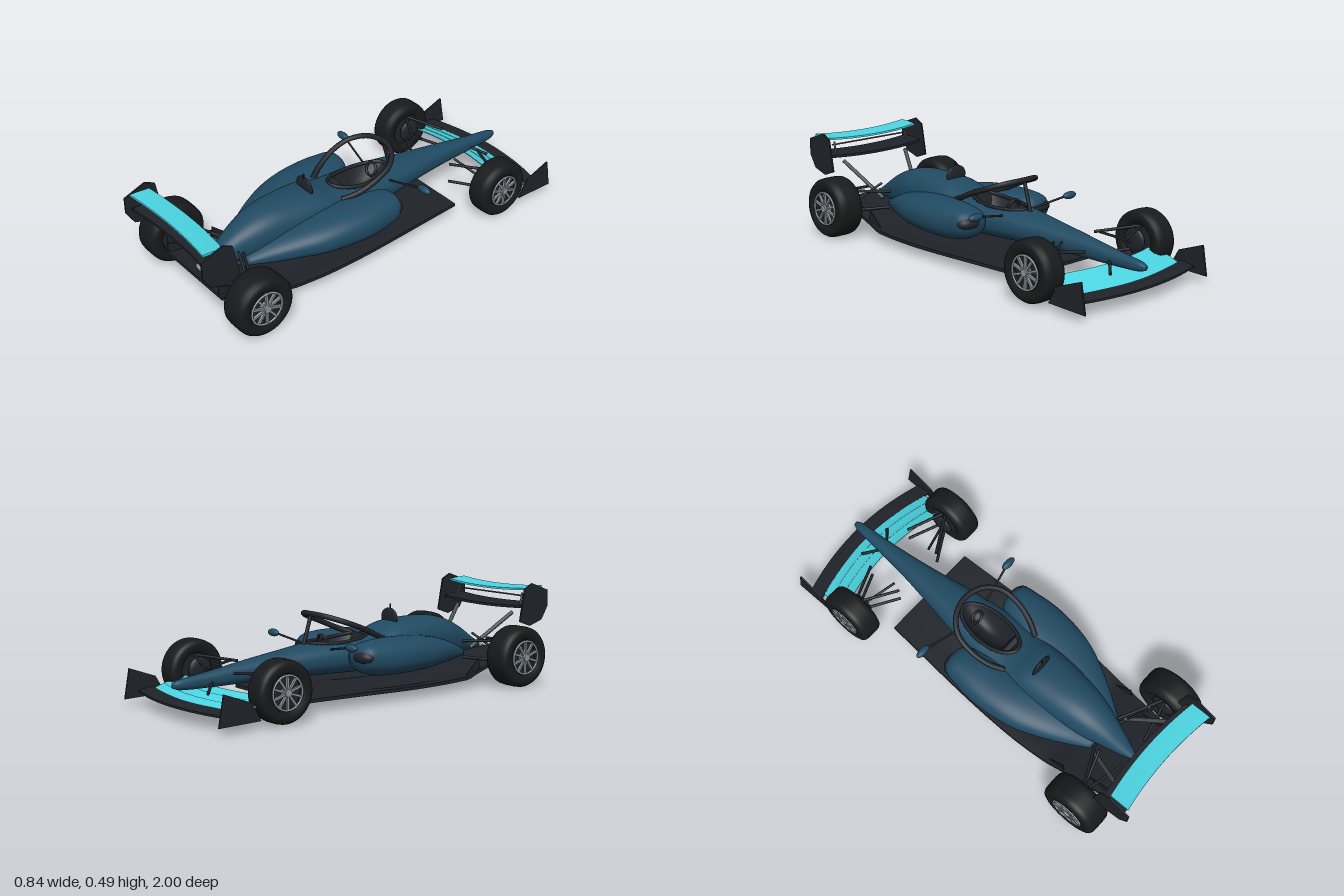
import * as THREE from 'three';

const mat = (color) => new THREE.MeshStandardMaterial({ color, side: THREE.DoubleSide });
const BLUE = mat(0x204a62), CYAN = mat(0x4bd5e2), DARK = mat(0x1f2329), RUBBER = mat(0x191a1b),
  METAL = mat(0x8d979d), GREY = mat(0x4a4f54);
const V = (x, y, z) => new THREE.Vector3(x, y, z);

function add(parent, name, geometry, material, x = 0, y = 0, z = 0) {
  const mesh = new THREE.Mesh(geometry, material);
  mesh.name = name;
  mesh.position.set(x, y, z);
  parent.add(mesh);
  return mesh;
}

function warp(geometry, rule) {
  const p = geometry.attributes.position, v = V(0, 0, 0);
  for (let i = 0; i < p.count; i++) {
    rule(v.fromBufferAttribute(p, i));
    p.setXYZ(i, v.x, v.y, v.z);
  }
  geometry.computeVertexNormals();
  return geometry;
}

// smooth interpolation of table rows, the first column being z
function sample(rows, z) {
  let i = 0;
  while (i < rows.length - 2 && z > rows[i + 1][0]) i++;
  const a = rows[i], b = rows[i + 1], p = rows[i - 1] || a, n = rows[i + 2] || b;
  const d = b[0] - a[0], t = Math.min(1, Math.max(0, (z - a[0]) / d));
  return a.map((_, k) => {
    const m0 = (b[k] - p[k]) / (b[0] - p[0]) * d, m1 = (n[k] - a[k]) / (n[0] - a[0]) * d;
    return a[k] + t * m0 + t * t * (3 * (b[k] - a[k]) - 2 * m0 - m1) + t * t * t * (2 * (a[k] - b[k]) + m0 + m1);
  });
}

// skin over superellipse sections: rows of z, centre x, half width, top, bottom
function loft(rows, rings, power = 2.3, sides = 56) {
  const pos = [], index = [], z0 = rows[0][0], z1 = rows[rows.length - 1][0];
  const bend = (c) => Math.sign(c) * Math.abs(c) ** (2 / power);
  for (let k = 0; k <= rings; k++) {
    const [z, cx, w, top, bot] = sample(rows, z0 + (z1 - z0) * k / rings);
    for (let i = 0; i < sides; i++) {
      const a = i / sides * Math.PI * 2;
      pos.push(cx + w * bend(Math.cos(a)), (top + bot) / 2 + (top - bot) / 2 * bend(Math.sin(a)), z);
      const j = (i + 1) % sides, r = k * sides, q = r + sides;
      if (k < rings) index.push(r + i, r + j, q + i, r + j, q + j, q + i);
    }
  }
  const c = pos.length / 3, last = rings * sides;
  for (const r of [rows[0], rows[rows.length - 1]]) pos.push(r[1], (r[3] + r[4]) / 2, r[0]);
  for (let i = 0; i < sides; i++) {
    const j = (i + 1) % sides;
    index.push(c, j, i, c + 1, last + i, last + j);
  }
  const g = new THREE.BufferGeometry();
  g.setAttribute('position', new THREE.Float32BufferAttribute(pos, 3));
  g.setIndex(index);
  g.computeVertexNormals();
  return g;
}

function rod(parent, name, a, b, r, material = DARK) {
  const m = add(parent, name, new THREE.CylinderGeometry(r, r, a.distanceTo(b), 10), material);
  m.position.lerpVectors(a, b, 0.5);
  m.quaternion.setFromUnitVectors(V(0, 1, 0), b.clone().sub(a).normalize());
}

function ball(parent, name, material, x, y, z, rx, ry, rz) {
  add(parent, name, new THREE.SphereGeometry(1, 24, 16), material, x, y, z).scale.set(rx, ry, rz);
}

// bowed wing blade
function blade(parent, name, material, half, chord, thick, y, z, sweep, lift, pitch) {
  add(parent, name, warp(new THREE.BoxGeometry(half * 2, thick, chord, 32, 1, 8), (v) => {
    const u = (v.x / half) ** 2, c = v.z / chord;
    v.y = v.y * (1 - 0.6 * Math.abs(c)) + lift * u + pitch * c + pitch * 0.5 * c * c;
    v.z += sweep * u;
  }), material, 0, y, z);
}

// upright plate from (z, y) outline
function plate(parent, name, outline, x, thick) {
  const shape = new THREE.Shape(outline.map(([z, y]) => new THREE.Vector2(-z, y)));
  const g = new THREE.ExtrudeGeometry(shape, { depth: thick, bevelEnabled: false });
  g.translate(0, 0, -thick / 2).rotateY(Math.PI / 2);
  add(parent, name, g, DARK, x);
}

function wheel(parent, name, s, x, y, z, r, h) {
  const w = new THREE.Group();
  w.name = name;
  w.position.set(s * x, y, z);
  w.rotation.z = -s * Math.PI / 2;
  parent.add(w);
  const profile = [[.56, -.7], [.6, -.95], [.82, -1], [.93, -.9], [.985, -.7], [1, -.4], [1, .4], [.985, .7],
    [.93, .9], [.82, 1], [.6, .95], [.56, .7], [.56, -.7]].map(([a, b]) => new THREE.Vector2(a * r, b * h));
  add(w, 'tyre', new THREE.LatheGeometry(profile, 48), RUBBER);
  add(w, 'rimBarrel', new THREE.CylinderGeometry(.56 * r, .56 * r, h * 1.3, 32), DARK, 0, -h * .1);
  add(w, 'rimRing', new THREE.TorusGeometry(.54 * r, .035 * r, 8, 40), METAL, 0, h * .95).rotation.x = Math.PI / 2;
  add(w, 'hub', new THREE.CylinderGeometry(.12 * r, .16 * r, h * .5, 16), METAL, 0, h * .85);
  for (let i = 0; i < 10; i++) {
    const a = i / 10 * Math.PI * 2;
    add(w, 'spoke', new THREE.BoxGeometry(.44 * r, .012, .07 * r), METAL,
      Math.cos(a) * .32 * r, h * .9, Math.sin(a) * .32 * r).rotation.y = -a;
  }
}

export function createModel() {
  const car = new THREE.Group();
  car.name = 'openWheelRaceCar';

  // fuselage, pressed down where the cockpit opens
  const hull = [[-.98, 0, .012, .165, .14], [-.95, 0, .022, .175, .13], [-.8, 0, .034, .195, .125],
    [-.6, 0, .055, .225, .125], [-.4, 0, .085, .25, .125], [-.25, 0, .11, .268, .12], [-.1, 0, .13, .28, .115],
    [.05, 0, .14, .288, .112], [.12, 0, .14, .302, .112], [.2, 0, .138, .33, .112], [.3, 0, .134, .34, .115],
    [.45, 0, .118, .34, .118], [.55, 0, .1, .32, .12], [.65, 0, .07, .275, .13], [.75, 0, .038, .21, .14],
    [.815, 0, .014, .17, .145]];
  const cz = -.085, rx = .08, rz = .17;
  const topY = (x, z) => {
    const [, , w, t, b] = sample(hull, z);
    return (t + b) / 2 + (t - b) / 2 * (1 - Math.min(1, Math.abs(x) / w) ** 2.3) ** (1 / 2.3);
  };
  add(car, 'fuselage', warp(loft(hull, 170, 2.3, 64), (v) => {
    const d = (v.x / rx) ** 2 + ((v.z - cz) / rz) ** 2;
    if (d < 1 && v.y > .2) v.y -= .02 + .1 * (1 - d);
  }), BLUE);
  add(car, 'cockpitTub', warp(new THREE.RingGeometry(.001, 1, 48, 10), (v) => {
    const d = v.x * v.x + v.y * v.y, x = v.x * rx, z = cz - v.y * rz;
    v.set(x, topY(x, z) + .003 - .1 * (1 - d), z);
  }), DARK);
  const rim = [];
  for (let i = 0; i < 32; i++) {
    const a = i / 32 * Math.PI * 2, x = rx * Math.cos(a), z = cz + rz * Math.sin(a);
    rim.push(V(x, topY(x, z), z));
  }
  add(car, 'cockpitRim', new THREE.TubeGeometry(new THREE.CatmullRomCurve3(rim, true), 80, .009, 8, true), DARK);
  add(car, 'seatBack', new THREE.BoxGeometry(.09, .1, .025), DARK, 0, .24, .03).rotation.x = .4;
  add(car, 'steeringWheel', new THREE.TorusGeometry(.032, .007, 8, 24), DARK, 0, .27, -.17).rotation.x = -.4;

  // halo
  const arc = [V(.11, .27, .1), V(.145, .295, .03), V(.163, .335, -.06), V(.15, .37, -.15), V(.09, .395, -.215)];
  const loop = [...arc, V(0, .403, -.24), ...arc.map((p) => V(-p.x, p.y, p.z)).reverse()];
  add(car, 'haloRing', new THREE.TubeGeometry(new THREE.CatmullRomCurve3(loop), 70, .013, 10), DARK);
  rod(car, 'haloPost', V(0, .4, -.24), V(0, .25, -.285), .009);

  ball(car, 'rollHoopIntake', DARK, 0, .345, .23, .06, .048, .012);
  rod(car, 'antenna', V(0, .38, .235), V(0, .412, .235), .004);
  ball(car, 'tailLight', METAL, 0, .158, .82, .031, .013, .012);

  // floor with twin tunnels, rising into the diffuser
  const edge = [[-.49, .255], [0, .282], [.3, .285], [.5, .27], [.68, .245], [.86, .225]];
  add(car, 'floor', warp(new THREE.BoxGeometry(1, 1, 1, 36, 1, 40), (v) => {
    const z = -.49 + (v.z + .5) * 1.35, x = v.x * 2 * sample(edge, z)[1];
    const rise = Math.max(0, z - .48), sag = Math.exp(-(((z - .2) / .3) ** 2));
    const wave = .018 * sag * Math.exp(-(((Math.abs(x) - .15) / .06) ** 2));
    v.set(x, .057 + v.y * .016 + .225 * rise * Math.min(1, rise / .08) - wave - .005 * sag, z);
  }), DARK);

  // front wing
  blade(car, 'frontWingMain', DARK, .385, .075, .014, .068, -.95, .06, 0, .01);
  for (let i = 0; i < 3; i++)
    blade(car, 'frontWingFlap', CYAN, .36, .058, .008, .08 + i * .016, -.9 + i * .05, .06, 0, .02);

  // rear wing
  blade(car, 'rearWingMain', DARK, .29, .12, .018, .37, .885, .025, .008, .01);
  blade(car, 'rearWingFlap', CYAN, .283, .1, .014, .452, .905, .025, .01, .008);
  rod(car, 'rearWingCrossBar', V(-.24, .421, .9), V(.24, .421, .9), .004, GREY);

  for (const s of [1, -1]) {
    const S = (x, y, z) => V(s * x, y, z);
    const link = (name, a, b, r, m) => rod(car, name, S(...a), S(...b), r, m);

    // sidepod with intake and louvres
    const pod = [[-.14, .2, .04, .24, .18], [-.12, .205, .075, .268, .15], [-.04, .2, .098, .283, .122],
      [.07, .19, .118, .285, .115], [.2, .175, .122, .28, .115], [.31, .145, .127, .267, .115],
      [.42, .11, .115, .245, .12], [.52, .08, .09, .215, .12], [.63, .04, .06, .17, .125]];
    add(car, 'sidepod', loft(pod.map(([z, cx, ...r]) => [z, s * cx, ...r]), 50), BLUE);
    ball(car, 'sidepodIntake', DARK, s * .225, .215, -.105, .065, .036, .045);
    for (let i = 0; i < 3; i++)
      add(car, 'louvre', new THREE.BoxGeometry(.035, .012, .008), DARK, s * .225, .254 - i * .004, .21 + i * .04)
        .rotation.z = -s * .55;

    // mirrors
    ball(car, 'mirror', BLUE, s * .3, .28, -.24, .04, .018, .018);
    link('mirrorArm', [.27, .277, -.235], [.1, .245, -.2], .005);

    plate(car, 'frontEndplate', [[-.79, .04], [-.84, .125], [-.975, .175], [-1, .035]], s * .39, .008);
    plate(car, 'rearEndplate', [[1, .45], [.89, .49], [.84, .465], [.81, .305], [.88, .28], [.96, .305], [1, .37]],
      s * .3, .008);
    link('frontWingPylon', [.03, .15, -.8], [.09, .115, -.86], .007);
    link('rearWingStrut', [.11, .17, .66], [.2, .34, .86], .01, GREY);
    link('flapLink', [.235, .375, .88], [.225, .435, .9], .005, GREY);

    wheel(car, 'frontWheel', s, .354, .146, -.665, .14, .058);
    wheel(car, 'rearWheel', s, .341, .148, .75, .148, .069);

    // suspension
    for (const [y, inner] of [[.11, .1], [.215, .2]])
      for (const z of [-.75, -.56]) link('frontWishbone', [.13, inner, z], [.32, y, -.67], .007);
    link('frontPushRod', [.12, .21, -.6], [.31, .13, -.67], .006);
    for (const [y, inner] of [[.115, .12], [.22, .2]])
      for (const z of [.64, .8]) link('rearWishbone', [.08, inner, z], [.3, y, .75], .007);
    link('rearPushRod', [.1, .24, .68], [.29, .13, .74], .006);
    for (const z of [-.665, .75]) ball(car, 'brakeDuct', DARK, s * .285, .15, z, .02, .06, .06);

    // small fins ahead of the rear wheels and on the diffuser
    plate(car, 'diffuserFin', [[.68, .11], [.86, .14], [.86, .2]], s * .2, .006);
    plate(car, 'floorFin', [[.5, .06], [.6, .08], [.59, .14]], s * .245, .006);
  }
  return car;
}
